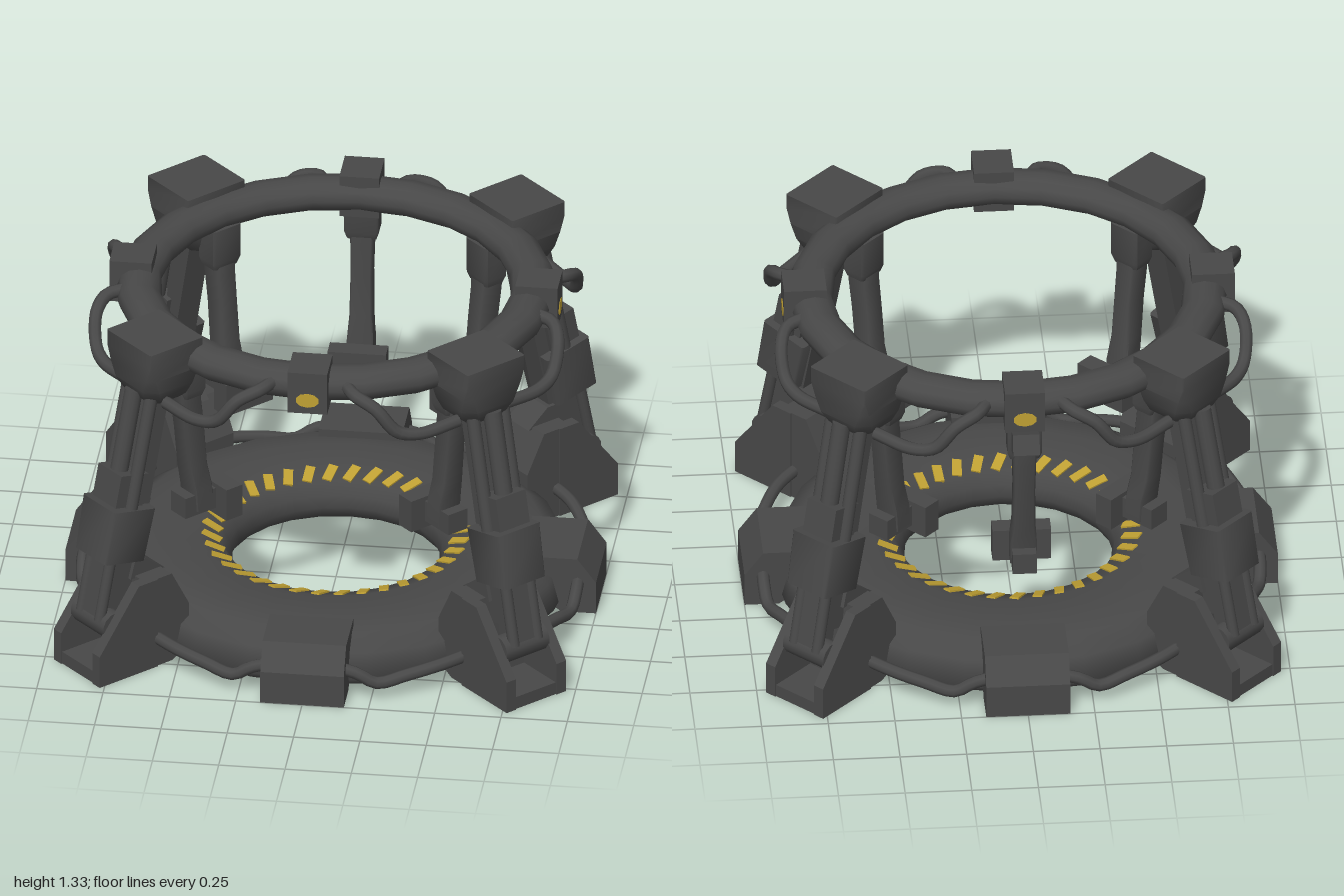
import * as THREE from 'three';
import { toCreasedNormals } from 'three/addons/utils/BufferGeometryUtils.js';

const metal = new THREE.MeshStandardMaterial({ color: 0x484848 });
metal.name = 'dark metal';
const yellow = new THREE.MeshStandardMaterial({ color: 0xbfa033 });
yellow.name = 'warning yellow';

function add(parent, name, geometry, x = 0, y = 0, z = 0, material = metal) {
  const mesh = new THREE.Mesh(geometry, material);
  mesh.name = name;
  mesh.position.set(x, y, z);
  parent.add(mesh);
  return mesh;
}
const box = (w, h, d) => new THREE.BoxGeometry(w, h, d);
const rod = (r, h, n = 12) => new THREE.CylinderGeometry(r, r, h, n);

// Closed turned shape from [radius, y] points
function lathe(points, segments) {
  const profile = points.map(([r, y]) => new THREE.Vector2(r, y));
  return toCreasedNormals(new THREE.LatheGeometry(profile, segments), 1.1);
}

// Cross-sections [y, width, depth, z, corner cut], listed from bottom to top
function loft(sections) {
  const pos = [], index = [], n = 8;
  for (const [y, w, d, z, cut = 0.08] of sections) {
    const k = 1 - 2 * cut;
    const corners = [[-k, 1], [k, 1], [1, k], [1, -k], [k, -1], [-k, -1], [-1, -k], [-1, k]];
    for (const [sx, sz] of corners) pos.push(sx * w / 2, y, z + sz * d / 2);
  }
  const last = (sections.length - 1) * n;
  for (let s = 0; s < last; s += n) {
    for (let i = 0; i < n; i++) {
      const j = (i + 1) % n;
      index.push(s + i, s + j, s + n + j, s + i, s + n + j, s + n + i);
    }
  }
  for (let i = 1; i < n - 1; i++) index.push(0, i + 1, i, last, last + i, last + i + 1);
  const geometry = new THREE.BufferGeometry();
  geometry.setAttribute('position', new THREE.Float32BufferAttribute(pos, 3));
  geometry.setIndex(index);
  return toCreasedNormals(geometry, 0.85);
}

// Side profile in [z, y], extruded across x
function slab(points, width) {
  const shape = new THREE.Shape(points.map(([z, y]) => new THREE.Vector2(-z, y)));
  const geometry = new THREE.ExtrudeGeometry(shape, { depth: width, bevelEnabled: false });
  return geometry.translate(0, 0, -width / 2).rotateY(Math.PI / 2);
}

function pipe(points, side, radius) {
  const curve = new THREE.CatmullRomCurve3(points.map(([x, y, z]) => new THREE.Vector3(side * x, y, z)));
  return new THREE.TubeGeometry(curve, 20, radius, 8);
}

// A group whose +z points outward at the given angle
function spoke(parent, name, angle) {
  const group = new THREE.Group();
  group.name = name;
  group.rotation.y = angle;
  parent.add(group);
  return group;
}

function buildFoot(g) {
  add(g, 'footCore', slab([[0.8, 0.04], [0.88, 0], [1.03, 0], [1.0, 0.37], [0.88, 0.37], [0.8, 0.22]], 0.27));
  add(g, 'footBracket', slab([[0.86, 0.36], [1.02, 0.36], [1.0, 0.43], [0.95, 0.43]], 0.13));
  add(g, 'footFloor', box(0.2, 0.05, 0.22), 0, 0.025, 1.11);
  for (const s of [-1, 1]) {
    const wall = slab([[0.95, 0], [1.225, 0], [1.225, 0.13], [1.04, 0.37], [0.95, 0.37]], 0.045);
    add(g, 'footWall', wall, s * 0.118, 0, 0);
  }
}

function buildLeg(g) {
  const leg = new THREE.Group();
  leg.name = 'leg';
  leg.position.set(0, 0.66, 1.025);
  leg.rotation.x = -0.213;
  g.add(leg);
  add(leg, 'legBeam', box(0.1, 0.84, 0.08), 0, 0.04, -0.065);
  add(leg, 'upperPiston', rod(0.035, 0.5), 0, 0.22, 0.03);
  for (const s of [-1, 1]) {
    add(leg, 'sideRod', rod(0.026, 0.52), s * 0.07, 0.2, 0);
    add(leg, 'lowerRod', rod(0.022, 0.3), s * 0.055, -0.3, 0.04);
  }
  add(leg, 'collar', box(0.14, 0.13, 0.13), 0, 0.08, 0.01);
  add(leg, 'kneeBlock', loft([[-0.205, 0.19, 0.19, 0, 0.04], [0.01, 0.2, 0.2, 0, 0.04]]));
  add(leg, 'lowerPiston', box(0.1, 0.25, 0.1), 0, -0.32, 0);
  add(leg, 'anklePivot', rod(0.055, 0.2), 0, -0.46, 0).rotation.z = Math.PI / 2;
}

// Hanging arm; shift moves it outward
function buildArm(parent, shift) {
  const g = new THREE.Group();
  g.name = 'hangingArm';
  g.position.z = shift;
  parent.add(g);
  add(g, 'armMount', loft([[1.03, 0.11, 0.08, 0.71], [1.06, 0.13, 0.1, 0.71], [1.2, 0.13, 0.1, 0.71]]));
  add(g, 'armStrut', loft([[0.53, 0.1, 0.08, 0.655], [0.62, 0.1, 0.085, 0.66], [0.72, 0.085, 0.085, 0.68],
    [0.88, 0.08, 0.09, 0.695], [1.0, 0.085, 0.09, 0.71], [1.1, 0.09, 0.09, 0.715]]));
  add(g, 'armLink', box(0.09, 0.085, 0.16), 0, 0.56, 0.665);
  add(g, 'armPad', box(0.22, 0.13, 0.075), 0, 0.555, 0.565);
}

export function createModel() {
  const model = new THREE.Group();

  // Base platform with a funnel-shaped hole, and upper ring
  add(model, 'basePlatform', lathe([[0.39, 0.08], [0.41, 0.035], [0.46, 0.005], [0.65, 0.015], [0.84, 0.003],
    [0.88, 0.04], [0.855, 0.14], [0.78, 0.19], [0.68, 0.2], [0.51, 0.2], [0.43, 0.172], [0.4, 0.125],
    [0.39, 0.08]], 24));
  const ringProfile = [];
  for (let i = 0; i <= 12; i++) {
    const a = i / 12 * Math.PI * 2;
    ringProfile.push([0.74 + 0.083 * Math.cos(a), 1.238 + 0.064 * Math.sin(a)]);
  }
  add(model, 'upperRing', lathe(ringProfile, 24));

  // Slanted floor marks lying on the funnel's lip
  const marks = 36;
  for (let i = 0; i < marks; i++) {
    const g = spoke(model, 'floorMark', i / marks * Math.PI * 2);
    const mark = add(g, 'markPlate', box(0.036, 0.009, 0.078), 0, 0.187, 0.464, yellow);
    mark.rotation.set(-0.336, -0.4, 0);
  }

  for (let k = 0; k < 4; k++) {
    // Side stations: base block, ring clamp with lamp, hoses
    const side = spoke(model, 'sideStation', k * Math.PI / 2);
    add(side, 'baseBlock', slab([[0.72, 0.1], [0.87, 0], [1, 0], [1, 0.13], [0.93, 0.225], [0.72, 0.225]], 0.315));
    add(side, 'ringClamp', box(0.15, 0.17, 0.16), 0, 1.245, 0.765);
    const lamp = add(side, 'clampLamp', rod(0.045, 0.008, 10), 0, 1.215, 0.843, yellow);
    lamp.rotation.x = Math.PI / 2;
    lamp.scale.z = 0.65;
    for (const s of [-1, 1]) {
      add(side, 'baseHose', pipe([[0.13, 0.13, 0.93], [0.2, 0.11, 0.93], [0.27, 0.07, 0.92],
        [0.38, 0.09, 0.88], [0.5, 0.11, 0.82], [0.66, 0.12, 0.68]], s, 0.024));
      add(side, 'ringHose', pipe([[0.14, 1.25, 0.78], [0.18, 1.245, 0.84], [0.26, 1.21, 0.87],
        [0.34, 1.115, 0.86], [0.42, 1.09, 0.82], [0.55, 1.095, 0.71]], s, 0.025));
    }

    // Corner stations: foot, leg, hub, hanging arm
    const corner = spoke(model, 'cornerStation', Math.PI / 4 + k * Math.PI / 2);
    buildFoot(corner);
    buildLeg(corner);
    add(corner, 'hub', loft([[1.07, 0.14, 0.15, 0.84, 0.2], [1.1, 0.21, 0.2, 0.85, 0.2],
      [1.15, 0.255, 0.24, 0.855, 0.17], [1.21, 0.27, 0.25, 0.855, 0.1], [1.27, 0.27, 0.25, 0.855, 0.02],
      [1.33, 0.27, 0.25, 0.855, 0.02]]));
    buildArm(corner, 0);
  }

  // Fifth arm at the back, with its tilted bracket
  const back = spoke(model, 'backStation', Math.PI);
  buildArm(back, 0.08);
  add(back, 'armBracket', box(0.1, 0.08, 0.12), 0, 1.12, 0.85).rotation.x = -0.35;
  return model;
}
